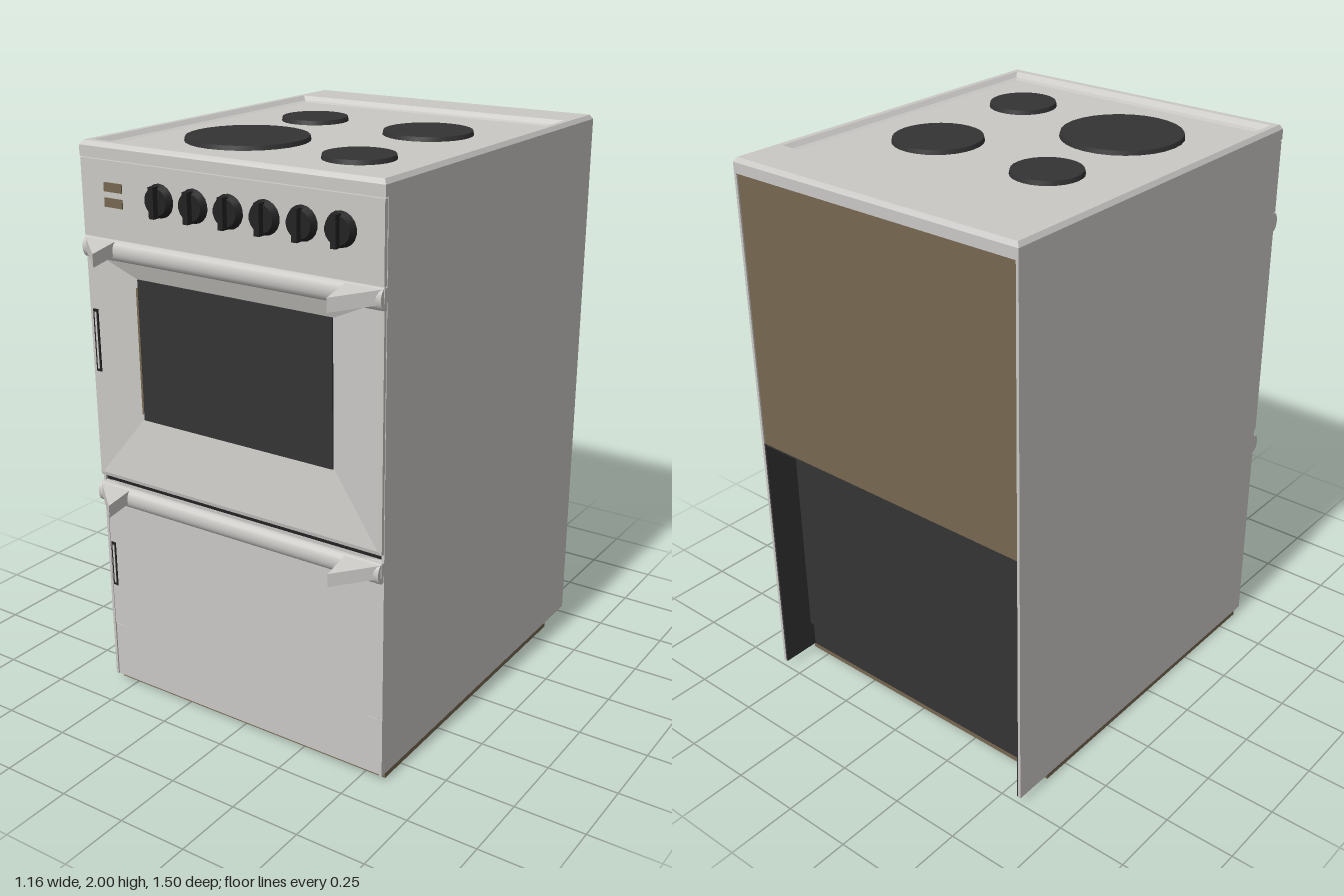
import * as THREE from 'three';

export function createModel() {
  const model = new THREE.Group();
  model.name = 'cooker';
  const mat = (name, color) => {
    const m = new THREE.MeshStandardMaterial({ color });
    m.name = name;
    return m;
  };
  const enamel = mat('enamel', 0xcac8c5);
  const brown = mat('brown panel', 0x766850);
  const black = mat('matt black', 0x343434);
  const dark = mat('dark trim', 0x222222);

  const add = (name, geo, m, x = 0, y = 0, z = 0) => {
    const mesh = new THREE.Mesh(geo, m);
    mesh.name = name;
    mesh.position.set(x, y, z);
    model.add(mesh);
    return mesh;
  };
  // box given by its limits on each axis
  const box = (name, m, x0, x1, y0, y1, z0, z1) =>
    add(name, new THREE.BoxGeometry(x1 - x0, y1 - y0, z1 - z0), m,
      (x0 + x1) / 2, (y0 + y1) / 2, (z0 + z1) / 2);

  // nested rectangles [x0, x1, y0, y1, depth] joined by sloping faces, last one closed
  const nested = (rings) => {
    const corners = rings.map(([a, b, c, d, z]) => [[a, c, z], [b, c, z], [b, d, z], [a, d, z]]);
    const pos = [];
    for (let i = 0; i < corners.length - 1; i++) {
      for (let k = 0; k < 4; k++) {
        const n = (k + 1) % 4, o = corners[i], p = corners[i + 1];
        pos.push(...o[k], ...o[n], ...p[n], ...o[k], ...p[n], ...p[k]);
      }
    }
    const e = corners[corners.length - 1];
    pos.push(...e[0], ...e[1], ...e[2], ...e[0], ...e[2], ...e[3]);
    const g = new THREE.BufferGeometry();
    g.setAttribute('position', new THREE.Float32BufferAttribute(pos, 3));
    g.computeVertexNormals();
    return g;
  };

  // cabinet
  box('base', brown, -0.575, 0.575, 0, 0.025, -0.6, 0.6);
  box('cabinet core', enamel, -0.57, 0.57, 0.025, 1.95, -0.6, 0.6);
  box('plinth', enamel, -0.575, 0.575, 0.025, 0.235, 0.6, 0.625);
  for (const s of [-1, 1]) {
    box('side panel', enamel, s * 0.575 - 0.005, s * 0.575 + 0.005, 0.025, 1.95, -0.75, 0.63);
    box('side panel lining', black, s * 0.567 - 0.003, s * 0.567 + 0.003, 0.025, 0.97, -0.748, -0.6);
  }

  // back: upper cover over a dark recess
  box('upper back panel', brown, -0.57, 0.57, 0.97, 1.95, -0.745, -0.6);
  box('recess ceiling', black, -0.565, 0.565, 0.963, 0.97, -0.744, -0.6);
  box('recess wall', black, -0.565, 0.565, 0.13, 0.963, -0.62, -0.6);
  box('recess foot', black, -0.565, 0.565, 0.025, 0.13, -0.606, -0.6);

  // hob with a sunken tray
  const hob = nested([
    [-0.58, 0.58, -0.645, 0.75, 1.95],
    [-0.58, 0.58, -0.645, 0.75, 1.985],
    [-0.57, 0.57, -0.635, 0.74, 2.0],
    [-0.55, 0.55, -0.61, 0.57, 2.0],
    [-0.535, 0.535, -0.59, 0.555, 1.985],
    [-0.52, 0.52, -0.57, 0.54, 1.98],
  ]);
  hob.rotateX(-Math.PI / 2);
  add('hob', hob, enamel);
  box('hob underside', enamel, -0.579, 0.579, 1.948, 1.955, -0.749, 0.644);
  const plates = [[-0.245, -0.205, 0.12], [0.24, -0.17, 0.155], [-0.2, 0.25, 0.21], [0.285, 0.325, 0.12]];
  for (const [x, z, r] of plates) {
    add('hotplate', new THREE.CylinderGeometry(r - 0.004, r, 0.02, 28), black, x, 1.985, z);
  }

  // control panel
  box('control panel', enamel, -0.578, 0.578, 1.69, 1.945, 0.6, 0.645);
  box('upper display', brown, -0.48, -0.405, 1.845, 1.875, 0.644, 0.649);
  box('lower display', brown, -0.48, -0.405, 1.795, 1.825, 0.644, 0.649);
  for (let i = 0; i < 6; i++) {
    const x = -0.25 + i * 0.136;
    const disc = new THREE.CylinderGeometry(0.044, 0.055, 0.022, 18);
    disc.rotateX(Math.PI / 2);
    add('knob', disc, dark, x, 1.84, 0.656);
    box('knob grip', dark, x - 0.01, x + 0.01, 1.79, 1.89, 0.66, 0.688);
  }

  // oven door sloping in towards the window
  add('oven door', nested([
    [-0.578, 0.578, 0.835, 1.66, 0.6],
    [-0.578, 0.578, 0.835, 1.66, 0.642],
    [-0.565, 0.565, 0.848, 1.645, 0.645],
    [-0.39, 0.385, 1.07, 1.56, 0.615],
  ]), enamel);
  box('oven window', black, -0.383, 0.382, 1.07, 1.56, 0.614, 0.621);
  box('window edge', brown, -0.392, -0.382, 1.09, 1.53, 0.612, 0.62);

  // gently bowed drawer front
  const bow = new THREE.Shape();
  bow.moveTo(-0.578, 0.6);
  bow.lineTo(0.578, 0.6);
  bow.lineTo(0.578, 0.627);
  bow.quadraticCurveTo(0, 0.665, -0.578, 0.627);
  const drawer = new THREE.ExtrudeGeometry(bow, { depth: 0.53, bevelEnabled: false, curveSegments: 20 });
  drawer.rotateX(Math.PI / 2);
  add('drawer front', drawer, enamel, 0, 0.77, 0);

  // handles: a rounded rail with a pointed bracket at each end
  for (const y of [1.69, 0.81]) {
    const rail = new THREE.CylinderGeometry(0.036, 0.036, 1.156, 16);
    rail.rotateZ(Math.PI / 2);
    rail.scale(1, 1, 0.7);
    add('handle rail', rail, enamel, 0, y - 0.037, 0.637);
    for (const s of [-1, 1]) {
      const horn = new THREE.Shape();
      horn.moveTo(s * 0.58, 0.62);
      horn.lineTo(s * 0.58, 0.645);
      horn.lineTo(s * 0.45, 0.75);
      horn.lineTo(s * 0.445, 0.64);
      const geo = new THREE.ExtrudeGeometry(horn, { depth: 0.045, bevelEnabled: false });
      geo.rotateX(Math.PI / 2);
      // droop towards the tip
      const p = geo.attributes.position;
      for (let i = 0; i < p.count; i++) p.setY(i, p.getY(i) - (p.getZ(i) - 0.62) * 0.2);
      geo.computeVertexNormals();
      add('handle bracket', geo, enamel, 0, y, 0);
    }
  }

  // slim slots on the left edge of the fronts
  for (const [y0, y1, z] of [[1.22, 1.44, 0.646], [0.4, 0.57, 0.632]]) {
    box('slot frame', dark, -0.564, -0.544, y0, y1, z - 0.008, z);
    box('slot centre', enamel, -0.558, -0.55, y0 + 0.01, y1 - 0.01, z - 0.005, z + 0.001);
  }

  // shadow gaps
  box('drawer gap', dark, -0.572, 0.572, 0.233, 0.241, 0.6, 0.622);
  box('door gap', dark, -0.572, 0.572, 0.812, 0.836, 0.6, 0.622);

  return model;
}
